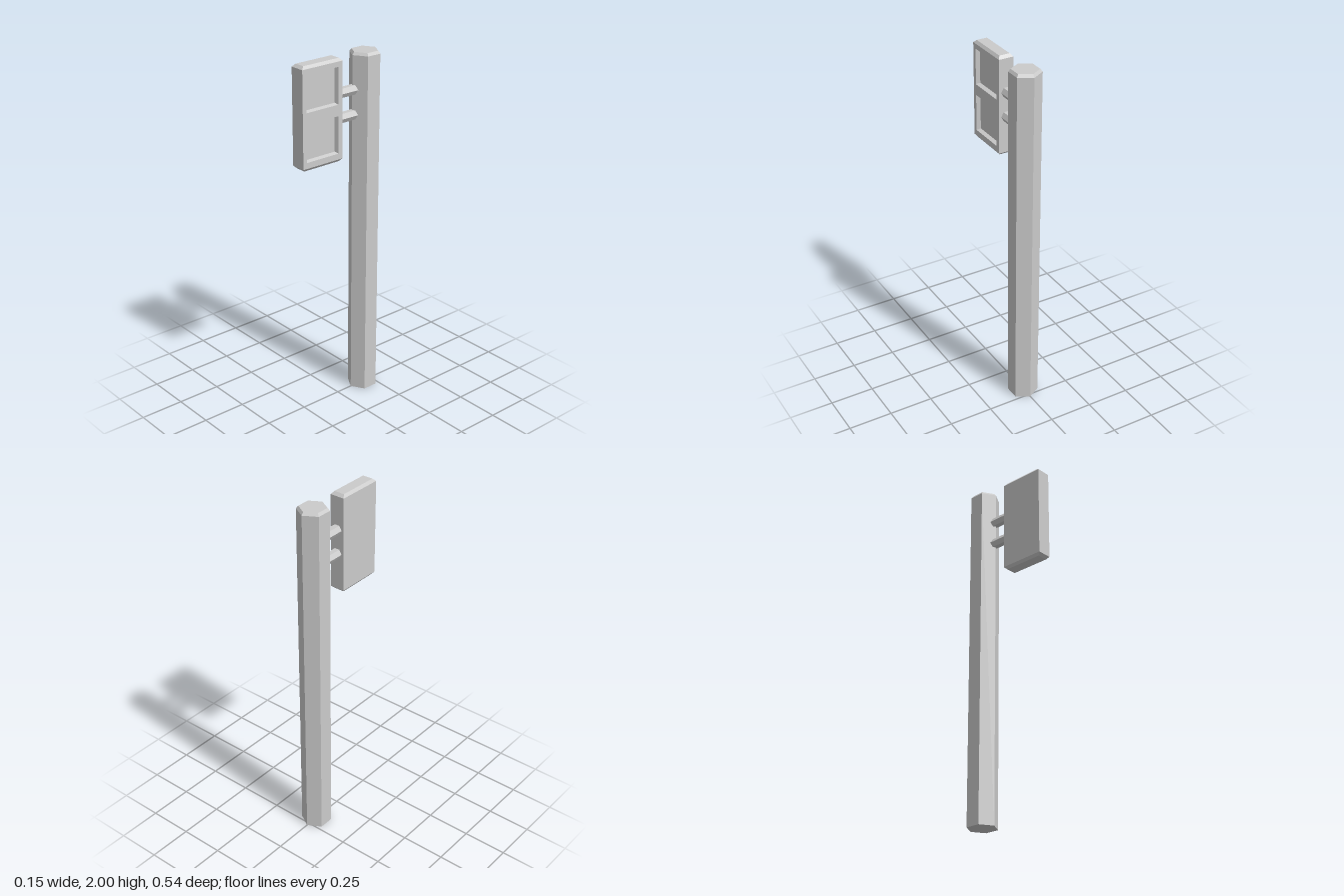
import * as THREE from 'three';

const material = new THREE.MeshStandardMaterial({ color: 0xcccccc, flatShading: true });

function part(name, geometry) {
  const mesh = new THREE.Mesh(geometry, material);
  mesh.name = name;
  return mesh;
}

// Flat quads, each given as four counter-clockwise corners
function quads(list) {
  const pos = list.flatMap(([a, b, c, d]) => [a, b, c, a, c, d].flat());
  const g = new THREE.BufferGeometry();
  g.setAttribute('position', new THREE.Float32BufferAttribute(pos, 3));
  g.computeVertexNormals();
  return g;
}

// Side quads joining two four-corner rings
const band = (a, b) => a.map((p, i) => [p, a[(i + 1) % 4], b[(i + 1) % 4], b[i]]);

// Lamp box dimensions
const HX = 0.042, Z0 = 0.003, Z1 = 0.267, Y0 = 1.44, Y1 = 2, CHAMFER = 0.015;
const POCKET_X = 0.02, SLOPE = 0.007;
const windows = [[1.488, 1.694], [1.756, 1.957]].map(([y0, y1]) => ({ y0, y1, z0: 0.031, z1: 0.244 }));

// Horizontal rectangle at height y, inset on all sides
const level = (y, inX = 0, inZ = 0) => [
  [-HX + inX, y, Z1 - inZ], [HX - inX, y, Z1 - inZ],
  [HX - inX, y, Z0 + inZ], [-HX + inX, y, Z0 + inZ],
];

// Upright rectangle in a plane of constant x, facing +x
const upright = (x, w, inset) => [
  [x, w.y0 + inset, w.z1 - inset], [x, w.y0 + inset, w.z0 + inset],
  [x, w.y1 - inset, w.z0 + inset], [x, w.y1 - inset, w.z1 - inset],
];

function createSignalBox() {
  const box = new THREE.Group();
  box.name = 'signalBox';

  // Shell with chamfered top and bottom, open on the window side
  const bottom = level(Y0, 0.012, 0.016), low = level(Y0 + CHAMFER);
  const high = level(Y1 - CHAMFER), top = level(Y1, 0.012, 0.016);
  box.add(part('boxShell', quads([
    [...bottom].reverse(),
    ...band(bottom, low),
    ...band(low, high).filter((_, i) => i !== 1),
    ...band(high, top),
    top,
  ])));

  // Window side frame with two openings
  const rect = (Type, z0, z1, y0, y1) => new Type(
    [[-z1, y0], [-z0, y0], [-z0, y1], [-z1, y1]].map(([u, v]) => new THREE.Vector2(u, v)));
  const frame = rect(THREE.Shape, Z0, Z1, Y0 + CHAMFER, Y1 - CHAMFER);
  frame.holes = windows.map((w) => rect(THREE.Path, w.z0, w.z1, w.y0, w.y1));
  box.add(part('windowFrame', new THREE.ShapeGeometry(frame).rotateY(Math.PI / 2).translate(HX, 0, 0)));

  // Recessed windows with sloping walls
  windows.forEach((w, i) => {
    const outer = upright(HX, w, 0), inner = upright(POCKET_X, w, SLOPE);
    box.add(part(i ? 'upperWindow' : 'lowerWindow', quads([...band(outer, inner), inner])));
  });
  return box;
}

export function createModel() {
  const model = new THREE.Group();
  model.name = 'signalPost';

  // Six-sided pole with a chamfered top
  const profile = [[0, 0], [0.085, 0], [0.085, 1.985], [0.073, 2], [0, 2]]
    .map(([r, y]) => new THREE.Vector2(r, y));
  const pole = part('pole', new THREE.LatheGeometry(profile, 6));
  pole.position.z = -0.184;
  model.add(pole);

  // Six-sided brackets between pole and box
  [['upperBracket', 1.8], ['lowerBracket', 1.663]].forEach(([name, y]) => {
    const g = new THREE.CylinderGeometry(0.029, 0.029, 0.135, 6, 1, false, Math.PI / 2);
    const bracket = part(name, g.rotateX(Math.PI / 2));
    bracket.position.set(0, y, -0.0575);
    model.add(bracket);
  });

  model.add(createSignalBox());
  return model;
}
